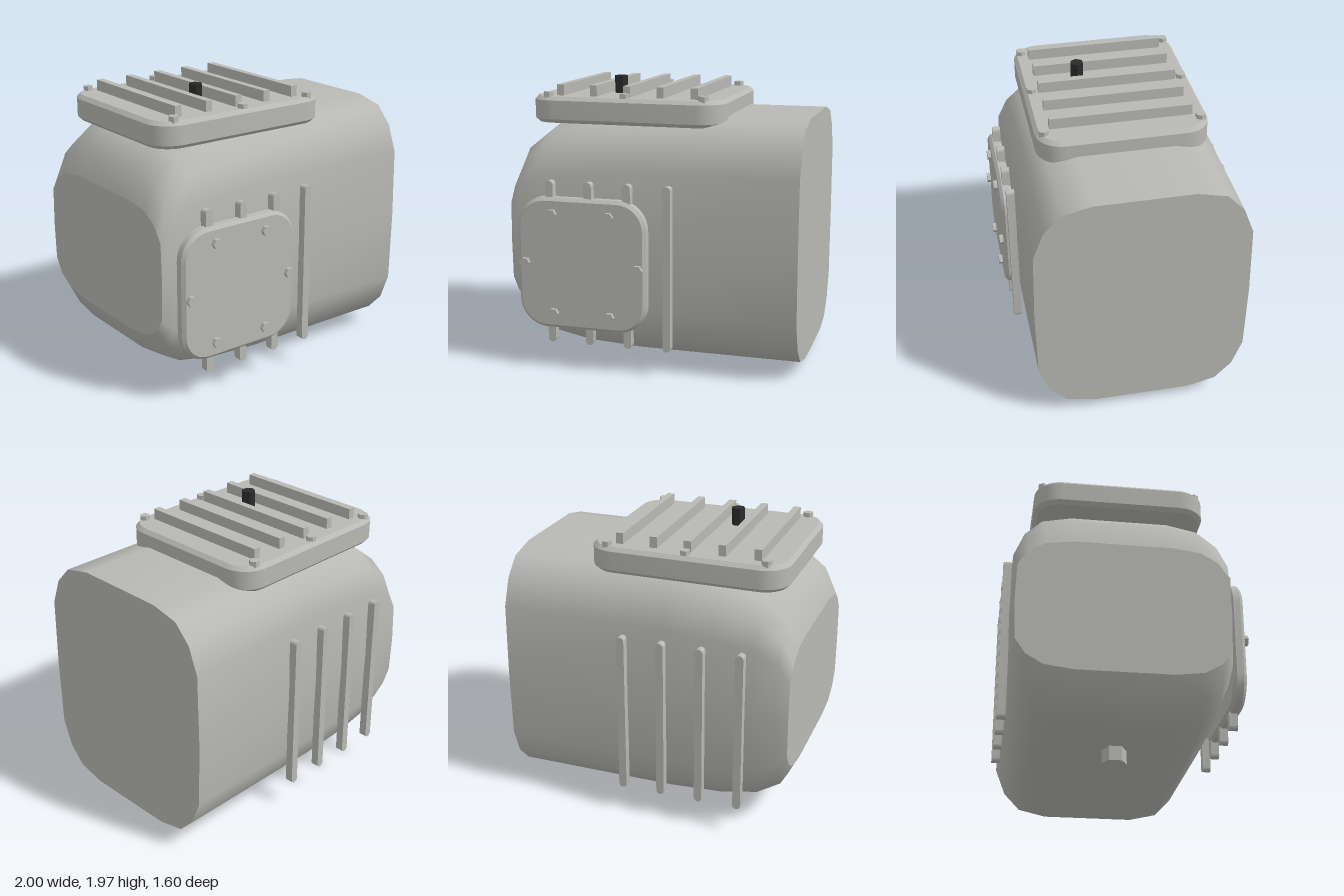
import * as THREE from 'three';
import { toCreasedNormals } from 'three/addons/utils/BufferGeometryUtils.js';

const castMetal = new THREE.MeshStandardMaterial({ color: 0xb8b8b4 });
castMetal.name = 'castMetal';
const blackPlug = new THREE.MeshStandardMaterial({ color: 0x2a2a2a });
blackPlug.name = 'blackPlug';

// Rounded rectangle centred on the origin
function roundedRect(w, h, r) {
  const s = new THREE.Shape(), x = w / 2 - r, y = h / 2 - r;
  s.absarc(x, y, r, 0, Math.PI / 2);
  s.absarc(-x, y, r, Math.PI / 2, Math.PI);
  s.absarc(-x, -y, r, Math.PI, Math.PI * 1.5);
  s.absarc(x, -y, r, Math.PI * 1.5, Math.PI * 2);
  s.closePath();
  return s;
}

// Plate with chamfered rims, lying in xy and reaching from z = 0 to z = depth
function plate(w, h, r, depth, bevel) {
  const g = new THREE.ExtrudeGeometry(roundedRect(w, h, r), {
    depth: depth - 2 * bevel, curveSegments: 4, bevelEnabled: bevel > 0,
    bevelThickness: bevel, bevelSize: bevel, bevelOffset: -bevel, bevelSegments: 1,
  });
  g.translate(0, 0, bevel);
  return toCreasedNormals(g, 0.6);
}

// Hexagonal prism along y, standing on y = 0
function hex(r, h) {
  return toCreasedNormals(new THREE.CylinderGeometry(r, r, h, 6).translate(0, h / 2, 0), 0.3);
}

// Housing: one cross-section scaled along x, with flat ends
function housingGeometry() {
  const quarter = [[0.722, 0], [0.712, 0.58], [0.642, 0.8], [0.527, 0.945], [0.328, 1]];
  const ring = [
    ...quarter,
    ...quarter.slice(1).reverse().map(([z, y]) => [-z, y]),
    ...quarter.map(([z, y]) => [-z, -y]),
    ...quarter.slice(1).reverse().map(([z, y]) => [z, -y]),
  ];
  // x, bottom, top, width scale
  const stations = [
    [1, 0.067, 1.735, 1], [-0.12, 0.067, 1.735, 1], [-0.5, 0.09, 1.69, 1],
    [-0.76, 0.145, 1.645, 0.998], [-0.92, 0.25, 1.52, 0.99], [-1, 0.41, 1.32, 0.97],
  ];
  // drop the doubled point where the two halves meet
  const section = ring.filter((p, i) => i === 0 || p[0] !== ring[i - 1][0] || p[1] !== ring[i - 1][1]);
  const n = section.length, pos = [], idx = [];
  const addRing = ([x, lo, hi, w]) => {
    for (const [z, y] of section) pos.push(x, (lo + hi) / 2 + y * (hi - lo) / 2, z * w - 0.028);
  };
  stations.forEach(addRing);
  for (let s = 0; s < stations.length - 1; s++) {
    for (let i = 0; i < n; i++) {
      const a = s * n + i, b = s * n + (i + 1) % n;
      idx.push(a, b, a + n, b, b + n, a + n);
    }
  }
  // separate end caps keep their edges sharp
  [stations[0], stations[stations.length - 1]].forEach((st, k) => {
    const o = pos.length / 3;
    addRing(st);
    for (let i = 1; i < n - 1; i++) {
      if (k === 0) idx.push(o, o + i + 1, o + i);
      else idx.push(o, o + i, o + i + 1);
    }
  });
  const g = new THREE.BufferGeometry();
  g.setAttribute('position', new THREE.Float32BufferAttribute(pos, 3));
  g.setIndex(idx);
  g.computeVertexNormals();
  return g;
}

export function createModel() {
  const model = new THREE.Group();
  model.name = 'gearHousing';
  const add = (name, geometry, x, y, z, material = castMetal) => {
    const m = new THREE.Mesh(geometry, material);
    m.name = name;
    m.position.set(x, y, z);
    model.add(m);
    return m;
  };

  add('housing', housingGeometry(), 0, 0, 0);

  // Top cover with ribs, bolts and breather
  add('topCover', plate(1.36, 1.16, 0.18, 0.18, 0.026).rotateX(-Math.PI / 2), -0.23, 1.67, -0.03);
  const topRib = new THREE.BoxGeometry(0.05, 0.085, 0.96);
  for (const x of [-0.705, -0.467, -0.23, 0.005, 0.243]) add('topRib', topRib, x, 1.8825, -0.03);
  const bolt = hex(0.035, 0.045).rotateY(Math.PI / 6);
  for (const x of [-0.775, -0.23, 0.315]) {
    for (const z of [-0.555, 0.495]) add('topBolt', bolt, x, 1.835, z);
  }
  add('breather', hex(0.047, 0.13).rotateY(Math.PI / 6), -0.365, 1.84, 0.155, blackPlug);

  // Front inspection cover with bolts
  add('frontCover', plate(0.91, 0.91, 0.2, 0.09, 0.022), -0.455, 0.745, 0.685);
  const frontBolt = bolt.clone().rotateX(Math.PI / 2);
  for (const [dx, dy] of [[0.2, 0.345], [0.4, 0], [0.2, -0.345]]) {
    for (const side of [-1, 1]) add('frontBolt', frontBolt, -0.455 + side * dx, 0.745 + dy, 0.757);
  }

  // Upright round-ended ribs on both sides
  const sideRib = plate(0.054, 1.13, 0.0269, 0.056, 0);
  for (const x of [-0.685, -0.412, -0.14, 0.135]) {
    add('frontRib', sideRib, x, 0.745, 0.692);
    add('backRib', sideRib, x, 0.745, -0.8);
  }

  // Drain plug underneath
  add('drainPlug', hex(0.083, 0.13), -0.46, 0, -0.023);

  return model;
}
